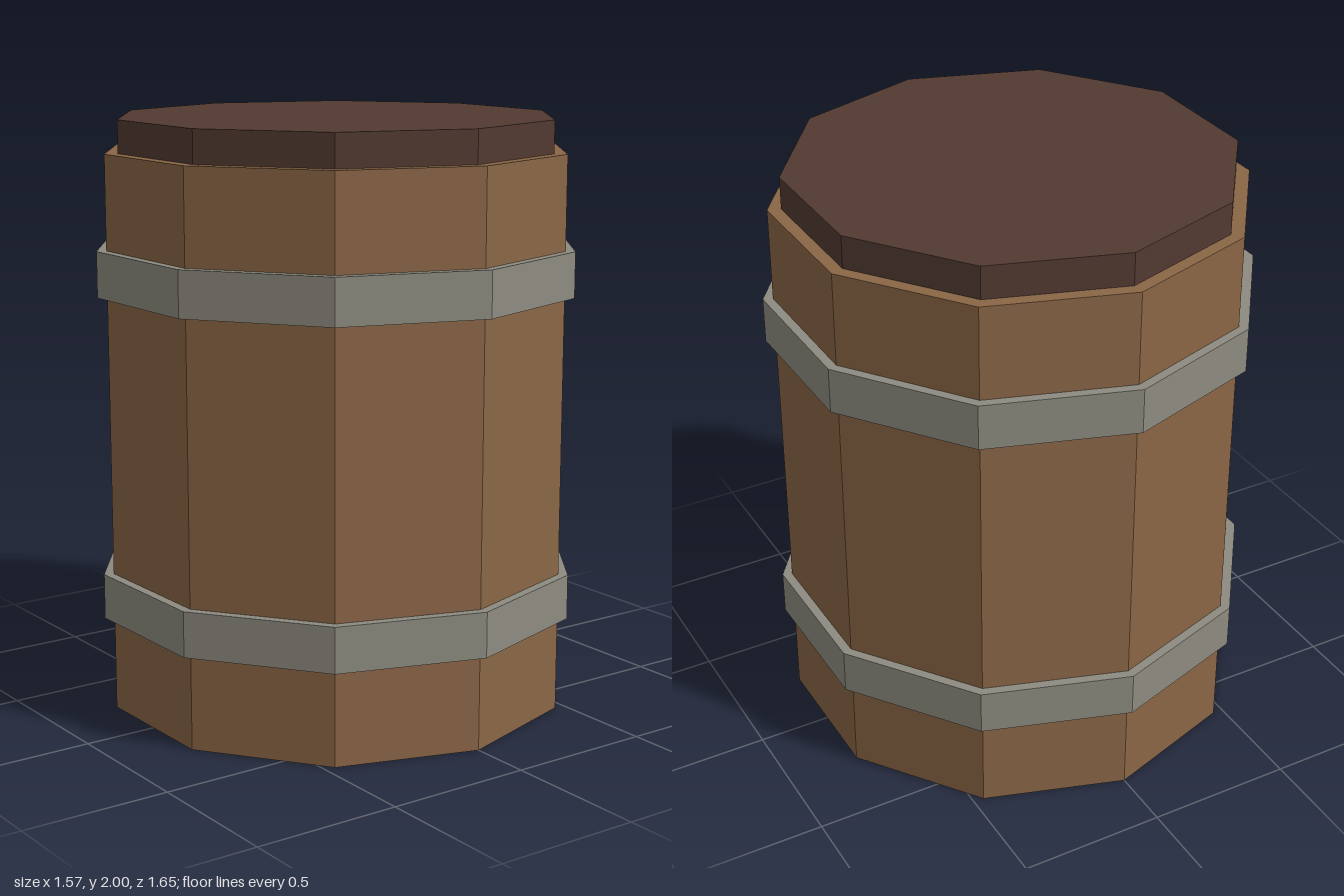
import * as THREE from 'three';

const SIDES = 10;

export function createModel() {
  const material = (name, color) => {
    const m = new THREE.MeshStandardMaterial({ color, flatShading: true });
    m.name = name;
    return m;
  };
  const wood = material('wood', 0x8a6646);
  const darkWood = material('darkWood', 0x523a31);
  const metal = material('metal', 0x8d8b80);

  const group = new THREE.Group();
  group.name = 'barrel';

  // Ten-sided prism standing between two heights
  const addPrism = (name, radius, bottom, top, mat) => {
    const mesh = new THREE.Mesh(
      new THREE.CylinderGeometry(radius, radius, top - bottom, SIDES), mat);
    mesh.name = name;
    mesh.position.y = (bottom + top) / 2;
    group.add(mesh);
  };

  addPrism('body', 0.79, 0, 1.89, wood);
  addPrism('lid', 0.745, 1.89, 2, darkWood);

  // Metal hoops around the body
  addPrism('lowerHoop', 0.823, 0.322, 0.476, metal);
  addPrism('upperHoop', 0.823, 1.42, 1.574, metal);

  return group;
}
